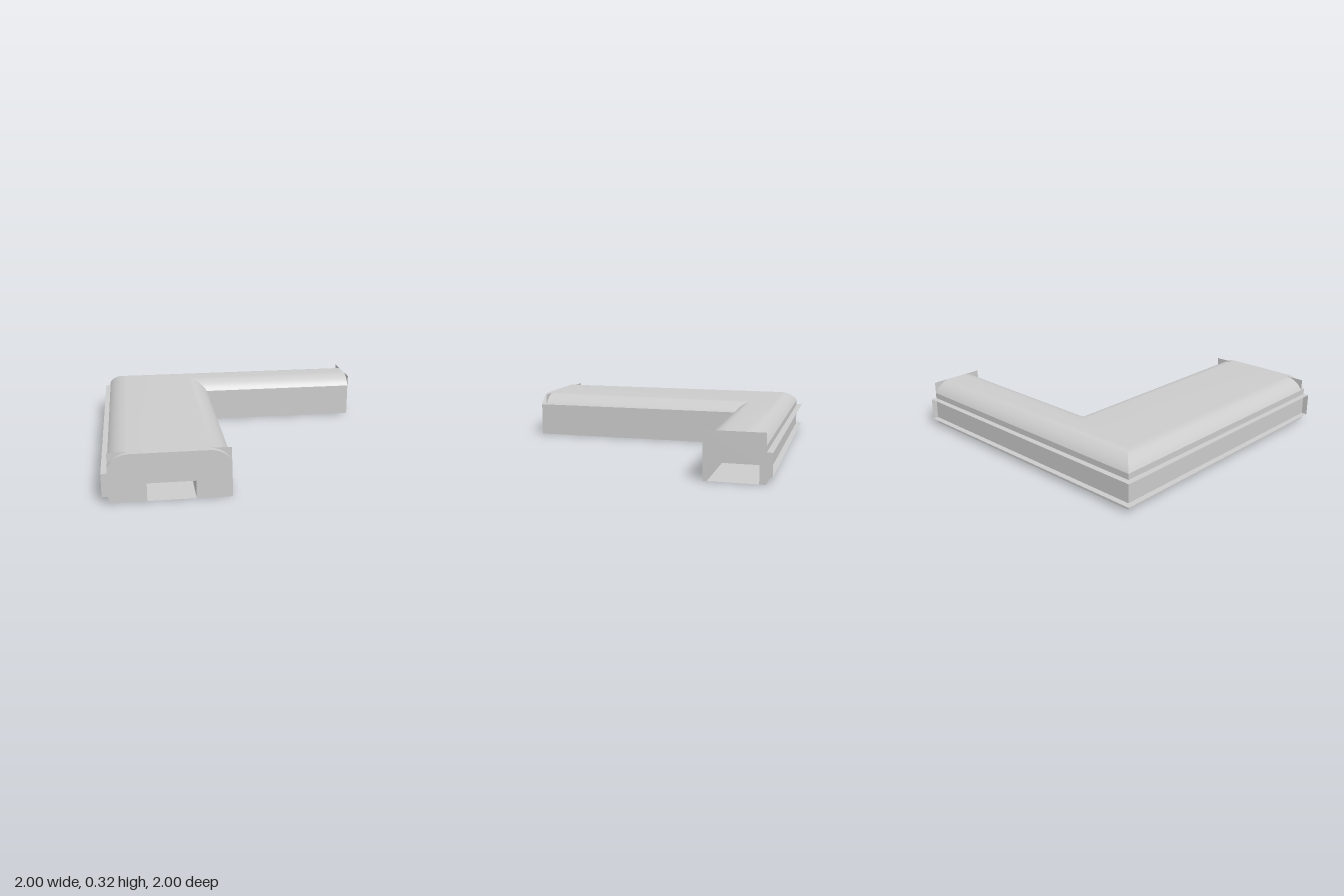
import * as THREE from 'three';
import { toCreasedNormals } from 'three/addons/utils/BufferGeometryUtils.js';

const OUT = -0.96, IN_X = -0.18, IN_Z = -0.57;   // outer wall, inner walls of the two arms
const H = 0.32, SHOULDER = 0.24, ROUND = 0.14;   // height, start and width of the rounding
const LIP = -1, LIP_LOW = 0.045, LIP_HIGH = 0.2;  // outer channel

const material = new THREE.MeshStandardMaterial({ color: 0xcccccc, side: THREE.DoubleSide });
const innerMaterial = new THREE.MeshStandardMaterial({ color: 0xcccccc, side: THREE.BackSide });

// Half profile: distance from the wall and height, from the foot to the flat top
function halfProfile() {
  const rise = H - SHOULDER;
  const r = (ROUND * ROUND + rise * rise) / (2 * rise);
  const sweep = Math.asin(ROUND / r);
  const pts = [[0, 0]];
  for (let i = 0; i <= 10; i++) {
    const a = sweep * (1 - i / 10);
    pts.push([ROUND - r * Math.sin(a), H - r + r * Math.cos(a)]);
  }
  return pts;
}

// Whole profile across an arm whose inner wall is at the given position
function profile(inner) {
  const half = halfProfile();
  return [
    ...half.map(([d, y]) => [OUT + d, y]),
    ...half.slice().reverse().map(([d, y]) => [inner - d, y]),
  ];
}

// Profile swept along both arms with a mitred corner
function sweptShell() {
  const px = profile(IN_X), pz = profile(IN_Z), n = px.length;
  const pos = [], idx = [];
  px.forEach(([x, y]) => pos.push(x, y, 1));
  px.forEach(([x, y], i) => pos.push(x, y, pz[i][0]));
  pz.forEach(([z, y]) => pos.push(1, y, z));
  for (let s = 0; s < 2; s++) {
    for (let i = 0; i < n - 1; i++) {
      const a = s * n + i, b = a + n;
      idx.push(a, a + 1, b + 1, a, b + 1, b);
    }
  }
  const geo = new THREE.BufferGeometry();
  geo.setAttribute('position', new THREE.Float32BufferAttribute(pos, 3));
  geo.setIndex(idx);
  return toCreasedNormals(geo, 0.42);
}

const shapeOf = (pts) => new THREE.Shape(pts.map(([x, y]) => new THREE.Vector2(x, y)));

// Points of a notch in the bottom edge, listed from right to left
const notch = (a, b) => [[b, 0], [b, 0.12], [a, 0.12], [a, 0]];

export function createModel() {
  const group = new THREE.Group();
  const add = (name, geo, x = 0, y = 0, z = 0, mat = material) => {
    const mesh = new THREE.Mesh(geo, mat);
    mesh.name = name;
    mesh.position.set(x, y, z);
    group.add(mesh);
    return mesh;
  };
  const flat = (pts) => new THREE.ShapeGeometry(shapeOf(pts));
  const level = (shape) => new THREE.ShapeGeometry(shape, 16).rotateX(Math.PI / 2);

  add('roundedShell', sweptShell());

  // Underside with two small screw holes
  const base = shapeOf([[OUT, OUT], [1, OUT], [1, IN_Z], [IN_X, IN_Z], [IN_X, 1], [OUT, 1]]);
  const screws = [0.4, -0.17];
  for (const z of screws) {
    base.holes.push(new THREE.Path().absarc(-0.575, z, 0.02, 0, Math.PI * 2, true));
  }
  add('underside', level(base));

  // Ends of the long arm: rounded cap and the square plate just behind it
  const frontNotch = notch(-0.72, -0.41);
  add('frontCap', flat([...profile(IN_X), ...frontNotch]), 0, 0, 1);
  add('frontPlate', flat([[OUT, 0], [OUT, H], [IN_X, H], [IN_X, 0], ...frontNotch]), 0, 0, 0.96);

  // Square plate on the end of the short arm
  const sidePlate = flat([[OUT, 0], [OUT, H], [IN_Z, H], [IN_Z, 0], ...notch(-0.92, -0.6)]);
  add('sidePlate', sidePlate.rotateY(-Math.PI / 2), 1);

  // Hollow sockets running into both arms
  const socket = (name, w, d, x, z) =>
    add(name, new THREE.BoxGeometry(w, 0.116, d), x, 0.062, z, innerMaterial);
  socket('frontSocket', 0.31, 1.4, -0.565, 0.3);
  socket('sideSocket', 1.3, 0.32, 0.35, -0.76);
  for (const z of screws) {
    add('screwPost', new THREE.CylinderGeometry(0.035, 0.035, 0.12, 20, 1, true), -0.575, 0.06, z);
  }

  // Channel around the outer walls: two thin lips closed at each end
  const lip = [[LIP, LIP], [1, LIP], [1, OUT], [OUT, OUT], [OUT, 1], [LIP, 1]];
  for (const y of [LIP_LOW, LIP_HIGH]) add('channelLip', level(shapeOf(lip)), 0, y, 0);
  const stop = [[LIP, LIP_LOW], [OUT, LIP_LOW], [OUT, LIP_HIGH], [LIP, LIP_HIGH]];
  add('channelStopFront', flat(stop), 0, 0, 1);
  add('channelStopSide', flat(stop).rotateY(-Math.PI / 2), 1);

  return group;
}
